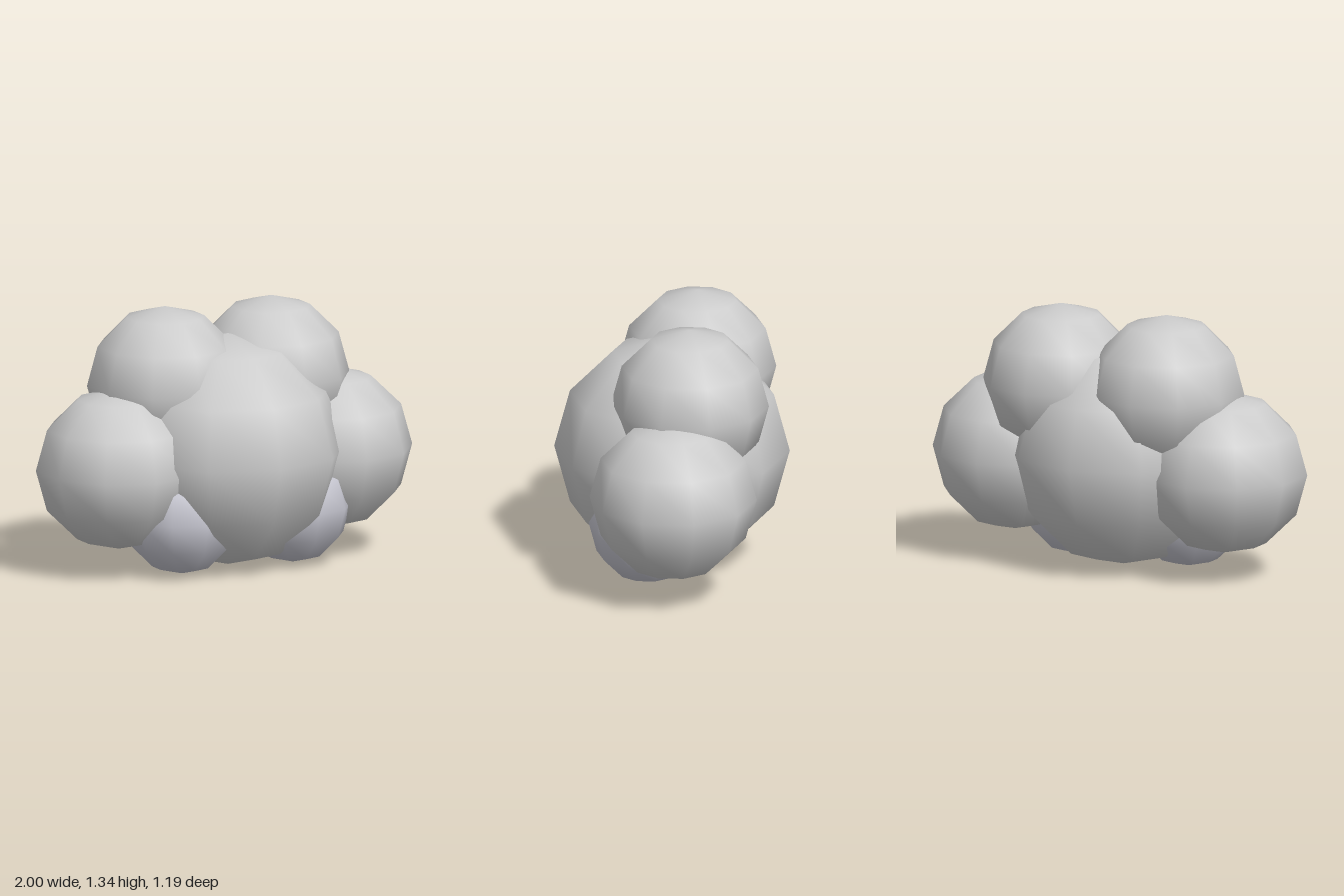
import * as THREE from 'three';

const grey = new THREE.MeshStandardMaterial({ color: 0xcccccc });
const cool = new THREE.MeshStandardMaterial({ color: 0xc6c6d0 });

// Low-poly puff with smooth normals; turned so a column of vertices faces the front
function puff(name, radius, x, y, z, material = grey, squash = 1) {
  const geometry = new THREE.SphereGeometry(radius, 10, 6);
  geometry.rotateY(Math.PI / 2);
  geometry.scale(1, squash, 1);
  const mesh = new THREE.Mesh(geometry, material);
  mesh.name = name;
  mesh.position.set(x, y, z);
  return mesh;
}

export function createModel() {
  const group = new THREE.Group();
  group.name = 'puffCluster';

  // Large middle puff
  group.add(puff('centrePuff', 0.597, 0, 0.597, 0));

  // Mirrored puffs: +x is the model's left
  for (const [side, s] of [['left', 1], ['right', -1]]) {
    group.add(
      puff(`${side}UpperPuff`, 0.4, s * 0.3, 0.942, -0.11),
      puff(`${side}SidePuff`, 0.424, s * 0.597, 0.544, -0.043, grey, 0.98),
      puff(`${side}LowerPuff`, 0.298, s * 0.315, 0.3, 0.105, cool)
    );
  }
  return group;
}
